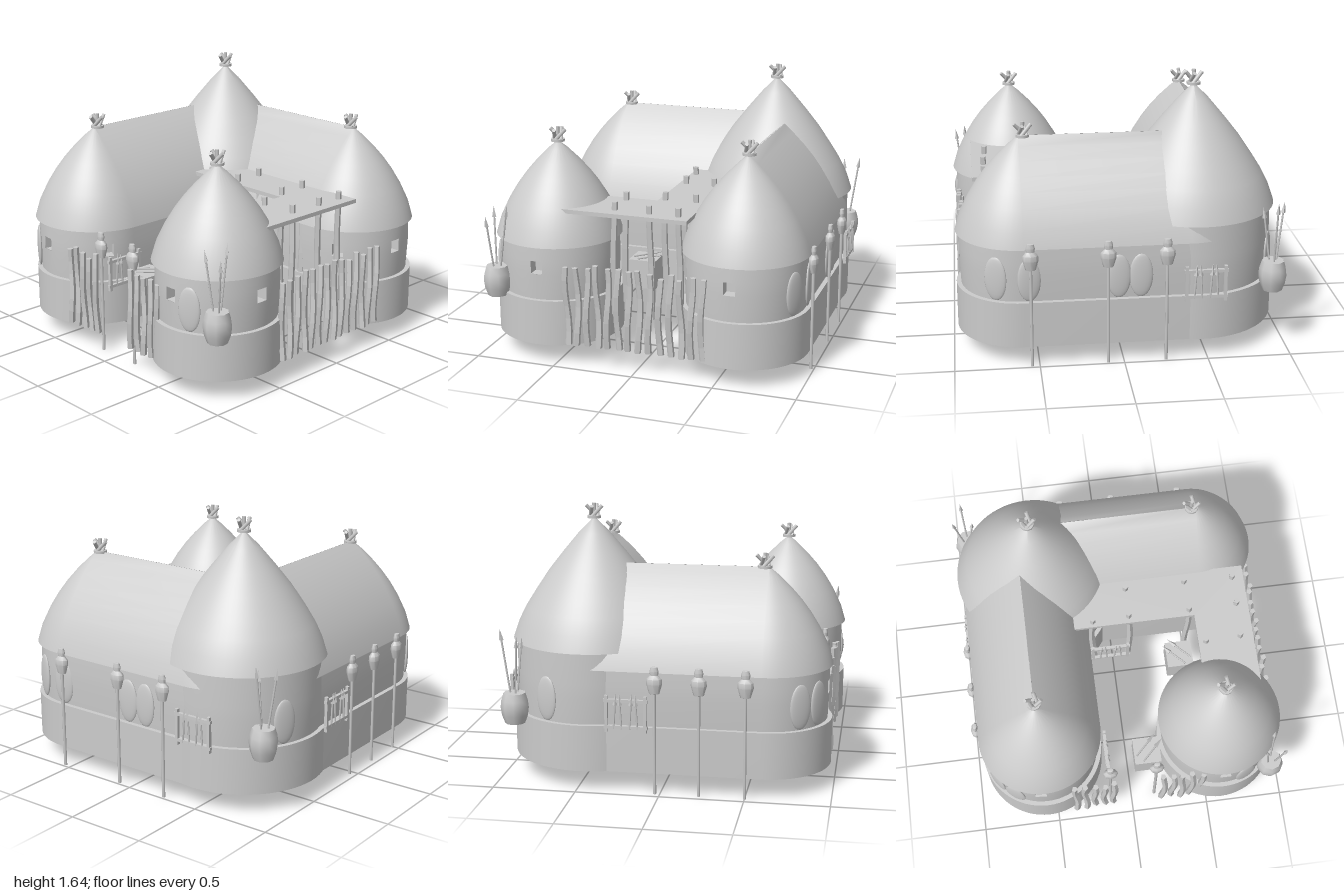
import * as THREE from 'three';
import { toCreasedNormals } from 'three/addons/utils/BufferGeometryUtils.js';

const mat = new THREE.MeshStandardMaterial({ color: 0xcccccc, side: THREE.DoubleSide });
const flat = new THREE.MeshStandardMaterial({ color: 0xcccccc, flatShading: true });
const inner = new THREE.MeshStandardMaterial({ color: 0xcccccc, side: THREE.BackSide });
const RAD = Math.PI / 180;

let seed = 7;
const rand = () => (seed = (seed * 16807) % 2147483647) / 2147483647;
const lathe = (pts, sides) => toCreasedNormals(
  new THREE.LatheGeometry(pts.map(p => new THREE.Vector2(...p)), sides), 0.8);

function add(parent, name, geo, x = 0, y = 0, z = 0, material = mat) {
  const m = new THREE.Mesh(geo, material);
  m.name = name;
  m.position.set(x, y, z);
  parent.add(m);
  return m;
}
function group(parent, name, x = 0, y = 0, z = 0, turn = 0) {
  const g = new THREE.Group();
  g.name = name;
  g.position.set(x, y, z);
  g.rotation.y = turn * RAD;
  parent.add(g);
  return g;
}

// Sweeps a profile of [radius, y] round a stadium (or circle) with end centres a and b;
// angles run from +z towards +x, and 'skip' leaves out cells for openings
function shell(profile, a, b, axis, skip = () => false) {
  const ring = [];
  for (let h = 0; h < 2; h++) for (let k = 0; k <= 32; k++) {
    ring.push({ c: h ? b : a, t: axis - 90 + h * 180 + k * 5.625 });
  }
  const n = ring.length, pos = [], idx = [];
  for (const [r, y] of profile) for (const { c, t } of ring) {
    pos.push(c[0] + r * Math.sin(t * RAD), y, c[1] + r * Math.cos(t * RAD));
  }
  for (let j = 0; j < profile.length - 1; j++) for (let i = 0; i < n; i++) {
    if (skip(ring[i].t + 2.8, j)) continue;
    const i2 = (i + 1) % n, p = j * n + i, q = j * n + i2;
    idx.push(p, q, q + n, p, q + n, p + n);
  }
  const g = new THREE.BufferGeometry();
  g.setAttribute('position', new THREE.Float32BufferAttribute(pos, 3));
  g.setIndex(idx);
  return toCreasedNormals(g, 0.6);
}

// Upright crooked pole standing on its local origin
function crookedPole(parent, name, x, y, z, h, r, bend) {
  const g = new THREE.CylinderGeometry(r * 0.85, r, h, 5, 6).translate(0, h / 2, 0);
  const p = g.attributes.position, ph = rand() * 6.28;
  for (let i = 0; i < p.count; i++) {
    const s = p.getY(i) / h * 6;
    p.setX(i, p.getX(i) + bend * Math.sin(s + ph));
    p.setZ(i, p.getZ(i) + bend * Math.cos(s * 0.8 + ph));
  }
  add(parent, name, g, x, y, z, flat);
}

function spear(parent, len, x, y, z) {
  const g = group(parent, 'spear', x, y, z);
  add(g, 'shaft', new THREE.CylinderGeometry(0.006, 0.006, len, 5), 0, len / 2, 0);
  add(g, 'spearHead', new THREE.ConeGeometry(0.014, 0.07, 4), 0, len + 0.02, 0, flat);
  return g;
}

// Bundle of roof sticks tied at the peak
function crown(parent, x, y, z) {
  const g = group(parent, 'roofCrown', x, y, z);
  add(g, 'crownRing', new THREE.CylinderGeometry(0.042, 0.042, 0.016, 10));
  for (let i = 0; i < 4; i++) {
    const arm = group(g, 'crownArm', 0, 0, 0, i * 90 + 20);
    const s = add(arm, 'crownStick', new THREE.CylinderGeometry(0.012, 0.012, 0.09, 6), 0.015, 0.035, 0.02);
    s.rotation.z = -0.75;
  }
  add(g, 'crownCentre', new THREE.CylinderGeometry(0.012, 0.012, 0.085, 6), 0, 0.04, 0);
}

function shield(parent, x, z, turn) {
  const s = add(parent, 'shield', new THREE.SphereGeometry(1, 20, 12), x, 0.54, z);
  s.scale.set(0.07, 0.135, 0.016);
  s.rotation.y = turn * RAD;
}

function hut(parent, name, { a, b = a, axis = 0, r, eave, roof, windows = [], shields = [] }) {
  const g = group(parent, name);
  const w = r - 0.028;
  add(g, 'plinth', shell([[r, 0.12], [r, 0.4], [w - 0.008, 0.4]], a, b, axis));
  const open = (t, j) => j === 1 && windows.some(v => Math.cos((t - v) * RAD) > Math.cos(5.7 * RAD));
  add(g, 'wall', shell([[w, 0.4], [w + 0.008, 0.56], [w + 0.008, 0.64], [w + 0.004, eave + 0.01]], a, b, axis, open));
  add(g, 'roof', shell([[w, eave], ...roof], a, b, axis));
  for (const t of windows) {
    const d = w - 0.03;
    const box = add(g, 'windowRecess', new THREE.BoxGeometry(0.074, 0.08, 0.07),
      a[0] + d * Math.sin(t * RAD), 0.6, a[1] + d * Math.cos(t * RAD), inner);
    box.rotation.y = t * RAD;
  }
  const d = w + 0.01;
  for (const t of shields) shield(g, a[0] + d * Math.sin(t * RAD), a[1] + d * Math.cos(t * RAD), t);
  // On the long wings the crown sits slightly in along the ridge
  const peak = roof[roof.length - 1][1];
  crown(g, a[0] + (b[0] - a[0]) * 0.027, peak, a[1] + (b[1] - a[1]) * 0.027);
}

// Weapon rack running along local x, facing local z
function rack(parent, x, z, turn) {
  const g = group(parent, 'weaponRack', x, 0.38, z, turn);
  for (const y of [0.02, 0.18]) add(g, 'rackRail', new THREE.BoxGeometry(0.26, 0.018, 0.02), 0, y, 0);
  for (const s of [-1, 1]) add(g, 'rackUpright', new THREE.BoxGeometry(0.018, 0.22, 0.02), s * 0.115, 0.1, 0);
  for (let i = 0; i < 4; i++) spear(g, 0.16, -0.07 + i * 0.047, 0.01, 0.006).rotation.z = (i % 2 - 0.5) * 0.12;
}

function torch(parent, x, z, turn) {
  const g = group(parent, 'torch', x, 0, z, turn);
  add(g, 'torchPole', new THREE.CylinderGeometry(0.01, 0.01, 0.62, 6), 0, 0.31, 0);
  const head = [[0, 0.605], [0.03, 0.612], [0.047, 0.67], [0.045, 0.7], [0.024, 0.722], [0.027, 0.745],
    [0.02, 0.77], [0, 0.773]];
  add(g, 'torchHead', lathe(head, 8)).scale.z = 0.65;
}

function jar(parent, x, z) {
  const g = group(parent, 'spearJar', x, 0.38, z);
  const pts = [[0, 0], [0.06, 0], [0.078, 0.05], [0.085, 0.1], [0.08, 0.14], [0.066, 0.185], [0, 0.185]];
  add(g, 'jar', lathe(pts, 9));
  for (let i = 0; i < 3; i++) {
    const t = i * 2.1 + 0.5;
    const s = spear(g, 0.28 + i * 0.03, 0.025 * Math.cos(t), 0.18, 0.025 * Math.sin(t));
    s.rotation.set(0.14 * Math.sin(t), 0, -0.14 * Math.cos(t));
  }
}

function crate(parent, x, z, turn) {
  const g = group(parent, 'crate', x, 0.37, z, turn);
  add(g, 'crateBox', new THREE.BoxGeometry(0.17, 0.18, 0.17), 0, 0.09, 0);
  for (const o of [-0.02, 0.02]) {
    const s = spear(g, 0.14, -0.05 + o, 0.185, 0.05 + o);
    s.rotation.set(0, Math.PI / 4, -Math.PI / 2);
  }
}

export function createModel() {
  const model = new THREE.Group();
  model.name = 'hutCompound';

  // Huts: a tall round one at the corner, two long wings, a small round one
  const low = [[0.388, 0.73], [0.358, 0.83], [0.305, 0.94], [0.25, 1.03], [0.195, 1.105], [0.13, 1.18],
    [0.06, 1.25], [0.001, 1.3]];
  const tall = [[0.5, 0.83], [0.465, 0.93], [0.42, 1.02], [0.36, 1.115], [0.28, 1.235], [0.19, 1.35],
    [0.09, 1.47], [0.001, 1.56]];
  hut(model, 'tallHut', { a: [-0.47, -0.48], r: 0.5, eave: 0.83, roof: tall, shields: [245] });
  hut(model, 'leftWing', { a: [-0.555, 0.59], b: [-0.555, -0.42], axis: 0, r: 0.388, eave: 0.73, roof: low,
    windows: [-5.625, 61.875], shields: [-54, -32] });
  hut(model, 'backWing', { a: [0.585, -0.585], b: [-0.4, -0.585], axis: 90, r: 0.388, eave: 0.73, roof: low,
    windows: [90, 28.125], shields: [154, 185] });
  hut(model, 'smallHut', { a: [0.59, 0.61], r: 0.388, eave: 0.73, roof: low, windows: [0, 90], shields: [21] });
  for (const x of [0.03, -0.1]) shield(model, x, -0.957, 180);

  // L-shaped sun shelter on crooked poles
  const shelter = group(model, 'sunShelter');
  const L = new THREE.Shape([[-0.26, -0.3], [0.86, -0.3], [0.86, 0.54], [0.51, 0.54], [0.51, 0], [-0.26, 0]]
    .map(p => new THREE.Vector2(...p)));
  add(shelter, 'shelterRoof', new THREE.ExtrudeGeometry(L, { depth: 0.025, bevelEnabled: false })
    .rotateX(Math.PI / 2), 0, 0.95, 0);
  for (const [x, z] of [[0.1, -0.23], [0.48, -0.23], [0.78, -0.23], [-0.14, -0.04], [0.1, -0.04],
    [0.48, -0.04], [0.78, -0.05], [0.56, 0.19], [0.78, 0.18]]) {
    crookedPole(shelter, 'shelterPole', x, 0.29, z, 0.71, 0.022, 0.006);
  }

  // Stick fences on the right side and either side of the front gate
  const fence = group(model, 'stickFence');
  const stick = (x, z) => crookedPole(fence, 'fenceStick', x, 0.135, z, 0.47 + rand() * 0.05, 0.022, 0.009);
  for (let i = 0; i < 14; i++) stick(0.94, -0.42 + i * 0.065);
  for (let i = 0; i < 5; i++) {
    stick(-0.37 + i * 0.061, 0.95);
    stick(0.2 + i * 0.061, 0.95);
  }

  // Torches
  for (const x of [-0.14, 0.155]) torch(model, x, 0.89, 0);
  for (const x of [-0.25, 0.095, 0.545]) torch(model, x, -0.98, 0);
  for (const z of [-0.03, 0.23, 0.5]) torch(model, -0.955, z, 90);

  // Racks, jars and crates
  rack(model, -0.48, -0.985, 180);
  rack(model, -0.957, -0.2, -90);
  rack(model, -0.145, 0.705, 90);
  rack(model, -0.03, 0.015, 0);
  jar(model, 0.895, 0.9);
  jar(model, -0.9, -0.88);
  crate(model, 0.415, 0.11, 90);
  crate(model, 0.115, 0.735, 0);
  return model;
}
